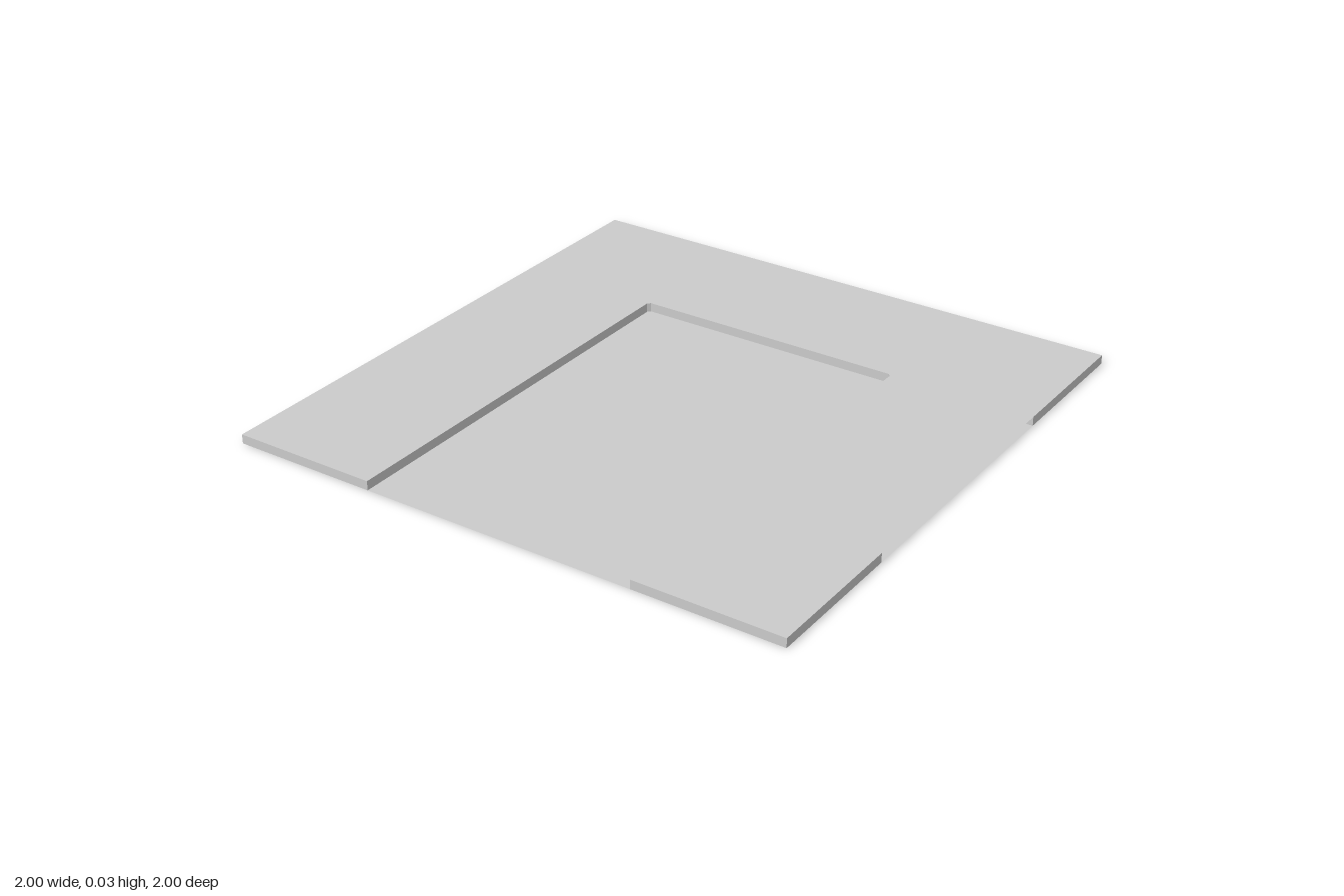
import * as THREE from 'three';

const H = 0.032;  // panel height
const R = 0.485;  // half width of the recess and of the cross-shaped floor
const C = 0.01;   // small cut at the recess corners

const material = new THREE.MeshStandardMaterial({
  color: 0xcccccc, flatShading: true, side: THREE.DoubleSide,
});

// Flat sheet from [x, z] points, lying at height y and facing up
function sheet(name, points, y) {
  const shape = new THREE.Shape(points.map(([x, z]) => new THREE.Vector2(x, -z)));
  const geometry = new THREE.ShapeGeometry(shape).rotateX(-Math.PI / 2).translate(0, y, 0);
  const mesh = new THREE.Mesh(geometry, material);
  mesh.name = name;
  return mesh;
}

// Upright wall of full height along a line of [x, z] points
function wall(name, points) {
  const positions = [];
  for (let i = 0; i + 1 < points.length; i++) {
    const [ax, az] = points[i];
    const [bx, bz] = points[i + 1];
    positions.push(ax, 0, az, bx, 0, bz, bx, H, bz, ax, 0, az, bx, H, bz, ax, H, az);
  }
  const geometry = new THREE.BufferGeometry();
  geometry.setAttribute('position', new THREE.Float32BufferAttribute(positions, 3));
  geometry.computeVertexNormals();
  const mesh = new THREE.Mesh(geometry, material);
  mesh.name = name;
  return mesh;
}

export function createModel() {
  const model = new THREE.Group();
  model.name = 'floorPanel';

  // Outline of the recess, open towards the front
  const recess = [
    [R, 1], [R, -R + C], [R - C, -R], [-R + C, -R], [-R, -R + C], [-R, 1],
  ];

  // U-shaped top and the wall around its recess
  model.add(sheet('topPlate', [[1, 1], [1, -1], [-1, -1], [-1, 1], ...[...recess].reverse()], H));
  model.add(wall('recessWall', recess));

  // Cross-shaped floor reaching all four edges
  model.add(sheet('floorPlate', [
    [R, 1], [R, R], [1, R], [1, -R], [R, -R], [R, -1],
    [-R, -1], [-R, -R], [-1, -R], [-1, R], [-R, R], [-R, 1],
  ], 0));

  // Hollow corners, open below; the recess wall closes the front pair
  for (const sx of [1, -1]) {
    const mirror = (points) => points.map(([x, z]) => [sx * x, z]).sort(() => 0);
    const order = (points) => (sx > 0 ? points : points.reverse());
    const side = sx > 0 ? 'Left' : 'Right';
    model.add(wall('front' + side + 'Corner', order(mirror([[R, 1], [1, 1], [1, R], [R, R]]))));
    model.add(wall('back' + side + 'Corner',
      order(mirror([[R, -R], [1, -R], [1, -1], [R, -1], [R, -R]]))));
  }

  return model;
}
